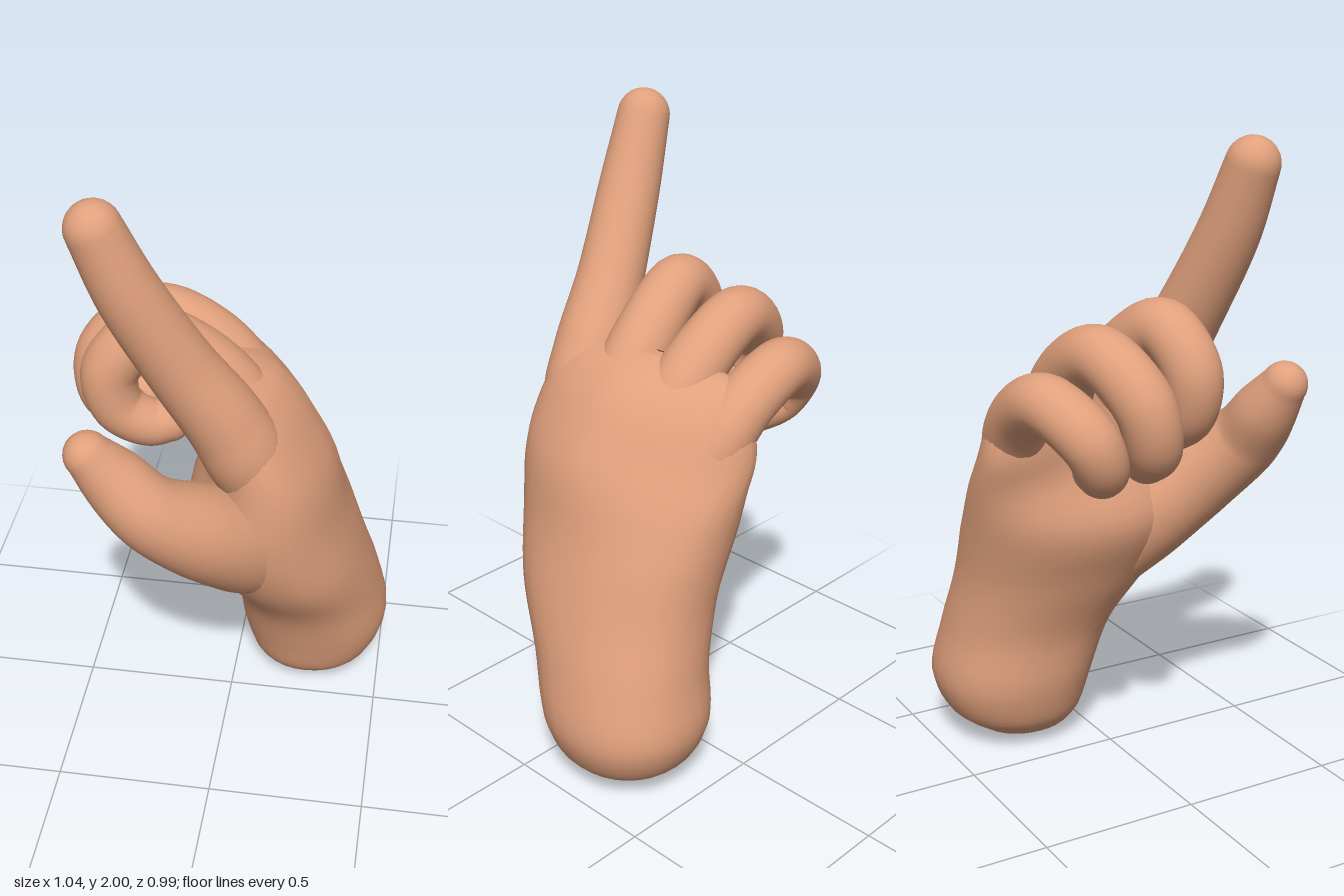
import * as THREE from 'three';

const SIDES = 32;
const skin = new THREE.MeshStandardMaterial({ color: 0xe0a07c });

// Closed smooth skin over a list of rings, with a point at both ends
function skinRings(name, rings) {
  const pos = [], index = [];
  rings.forEach(ring => ring.forEach(p => pos.push(p.x, p.y, p.z)));
  for (let i = 0; i < rings.length - 1; i++) {
    for (let j = 0; j < SIDES; j++) {
      const k = (j + 1) % SIDES;
      const a = i * SIDES + j, b = i * SIDES + k;
      index.push(a, b, b + SIDES, a, b + SIDES, a + SIDES);
    }
  }
  const first = pos.length / 3, last = (rings.length - 1) * SIDES;
  for (const ring of [rings[0], rings[rings.length - 1]]) {
    const c = ring.reduce((s, p) => s.add(p), new THREE.Vector3()).divideScalar(SIDES);
    pos.push(c.x, c.y, c.z);
  }
  for (let j = 0; j < SIDES; j++) {
    const k = (j + 1) % SIDES;
    index.push(first, k, j, first + 1, last + j, last + k);
  }
  const geo = new THREE.BufferGeometry();
  geo.setAttribute('position', new THREE.Float32BufferAttribute(pos, 3));
  geo.setIndex(index);
  geo.computeVertexNormals();
  const mesh = new THREE.Mesh(geo, skin);
  mesh.name = name;
  return mesh;
}

// Tapered digit along points [x, y, z, radius], with a round tip
function digit(name, points) {
  const path = new THREE.CatmullRomCurve3(points.map(p => new THREE.Vector3(p[0], p[1], p[2])));
  const radii = new THREE.CatmullRomCurve3(points.map((p, i) => new THREE.Vector3(p[3], i, 0)));
  const steps = (points.length - 1) * 8, rings = [];
  let normal = new THREE.Vector3(0, 0, 1), tangent;
  const addRing = (centre, r) => {
    const side = new THREE.Vector3().crossVectors(tangent, normal);
    rings.push(Array.from({ length: SIDES }, (_, j) => {
      const a = j / SIDES * Math.PI * 2;
      return centre.clone().addScaledVector(normal, r * Math.cos(a)).addScaledVector(side, r * Math.sin(a));
    }));
  };
  for (let i = 0; i <= steps; i++) {
    const t = i / steps;
    tangent = path.getTangent(t);
    normal = normal.clone().addScaledVector(tangent, -normal.dot(tangent)).normalize();
    addRing(path.getPoint(t), radii.getPoint(t).x);
  }
  const end = path.getPoint(1), r = points[points.length - 1][3];
  for (let i = 1; i <= 7; i++) {
    const a = i / 7.2 * Math.PI / 2;
    addRing(end.clone().addScaledVector(tangent, r * Math.sin(a)), r * Math.cos(a));
  }
  return skinRings(name, rings);
}

// Wrist and palm: flattened sections [y, centre x, centre z, half x, half z]
function palm() {
  const sections = [
    [0.0, 0.25, -0.21, 0.05, 0.05],
    [0.04, 0.25, -0.21, 0.15, 0.15],
    [0.1, 0.26, -0.225, 0.21, 0.22],
    [0.22, 0.265, -0.23, 0.25, 0.265],
    [0.4, 0.24, -0.185, 0.245, 0.285],
    [0.6, 0.175, -0.11, 0.255, 0.335],
    [0.8, 0.11, -0.08, 0.26, 0.37],
    [1.0, 0.125, -0.085, 0.2, 0.375],
    [1.13, 0.1, -0.09, 0.16, 0.365],
    [1.22, 0.075, -0.09, 0.125, 0.34],
    [1.28, 0.045, -0.09, 0.095, 0.305],
    [1.31, 0.02, -0.09, 0.06, 0.25],
    [1.325, 0.01, -0.09, 0.015, 0.17],
  ];
  const centres = new THREE.CatmullRomCurve3(sections.map(s => new THREE.Vector3(s[1], s[0], s[2])));
  const sizes = new THREE.CatmullRomCurve3(sections.map(s => new THREE.Vector3(s[3], s[0], s[4])));
  const steps = (sections.length - 1) * 5;
  const soft = v => Math.sign(v) * Math.abs(v) ** 0.92;
  const rings = [];
  for (let i = 0; i <= steps; i++) {
    const c = centres.getPoint(i / steps), s = sizes.getPoint(i / steps);
    // towards the little finger the knuckle line drops and the palm cups inwards
    const upper = THREE.MathUtils.smoothstep(c.y, 0.72, 1.12);
    rings.push(Array.from({ length: SIDES }, (_, j) => {
      const a = j / SIDES * Math.PI * 2;
      const z = c.z - s.z * soft(Math.sin(a));
      const outer = upper * Math.max(0, -0.08 - z);
      return new THREE.Vector3(c.x + s.x * soft(Math.cos(a)) - 0.36 * outer, c.y - 0.14 * outer, z);
    }));
  }
  return skinRings('palmAndWrist', rings);
}

export function createModel() {
  const hand = new THREE.Group();
  hand.name = 'pointingHand';
  hand.add(
    palm(),
    // stretched index finger
    digit('indexFinger', [
      [0.11, 0.86, 0.07, 0.08], [0.07, 1.1, 0.15, 0.125], [0.005, 1.25, 0.178, 0.121],
      [-0.115, 1.45, 0.215, 0.107], [-0.25, 1.71, 0.263, 0.097], [-0.335, 1.918, 0.285, 0.083],
    ]),
    // curled fingers
    digit('middleFinger', [
      [0.1, 0.98, 0, 0.08], [0.045, 1.18, 0, 0.105], [-0.09, 1.35, 0.01, 0.1],
      [-0.25, 1.44, 0.04, 0.092], [-0.36, 1.33, 0.07, 0.09], [-0.34, 1.2, 0.075, 0.082],
      [-0.25, 1.14, 0.06, 0.076], [-0.19, 1.14, 0.04, 0.07],
    ]),
    digit('ringFinger', [
      [0.09, 0.95, -0.17, 0.08], [0.03, 1.15, -0.18, 0.105], [-0.1, 1.31, -0.195, 0.098],
      [-0.27, 1.385, -0.185, 0.092], [-0.42, 1.27, -0.13, 0.092], [-0.42, 1.14, -0.095, 0.085],
      [-0.34, 1.08, -0.07, 0.075],
    ]),
    digit('littleFinger', [
      [0.06, 0.88, -0.29, 0.08], [0.0, 1.07, -0.335, 0.1], [-0.11, 1.2, -0.362, 0.094],
      [-0.27, 1.265, -0.362, 0.09], [-0.41, 1.18, -0.3, 0.088], [-0.4, 1.09, -0.255, 0.08],
      [-0.31, 1.06, -0.225, 0.07],
    ]),
    // thumb with its fleshy base
    digit('thumb', [
      [0.13, 0.57, -0.05, 0.14], [0.05, 0.765, 0.125, 0.176], [-0.06, 0.91, 0.285, 0.15],
      [-0.19, 1.04, 0.38, 0.118], [-0.29, 1.155, 0.388, 0.1], [-0.36, 1.25, 0.405, 0.072],
    ]),
  );
  return hand;
}
